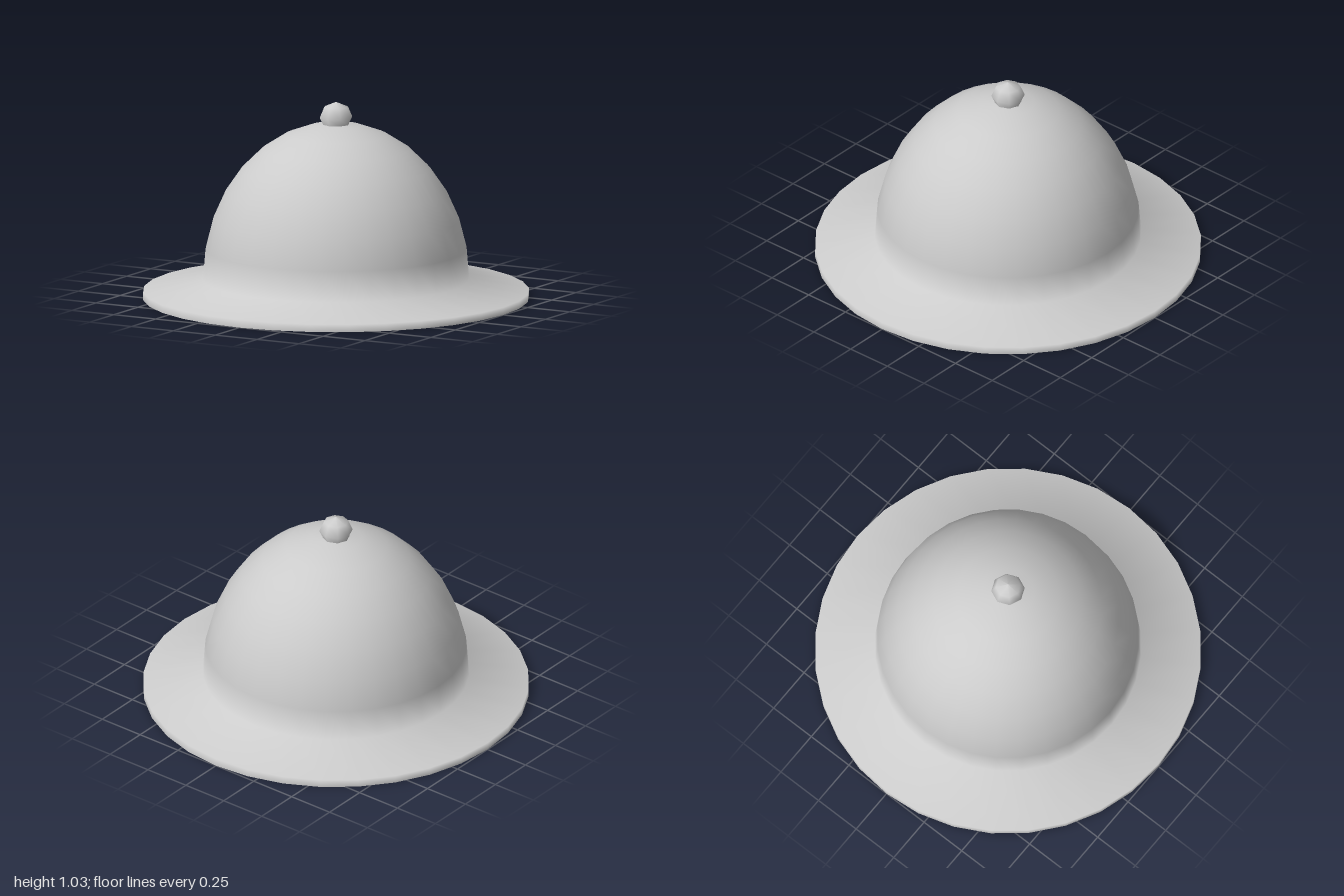
import * as THREE from 'three';

const SIDES = 32;
const material = new THREE.MeshStandardMaterial({ color: 0xcccccc, side: THREE.DoubleSide });

// Quarter-ellipse profile from the top of a dome down to its rim
function domeProfile(radius, height, baseY, rings = 8) {
  const points = [];
  for (let i = 0; i <= rings; i++) {
    const a = (i / rings) * Math.PI / 2;
    points.push(new THREE.Vector2(radius * Math.sin(a), baseY + height * Math.cos(a)));
  }
  return points;
}

// Lathe a profile; profiles run bottom to top on outward-facing surfaces
function turned(name, points, sides = SIDES) {
  const mesh = new THREE.Mesh(new THREE.LatheGeometry(points, sides), material);
  mesh.name = name;
  return mesh;
}

export function createModel() {
  const group = new THREE.Group();
  group.name = 'helmet';

  // Outer shell: brim edge, sloping brim and crown in one smooth surface
  group.add(turned('crownAndBrim', [
    new THREE.Vector2(1, 0),
    new THREE.Vector2(1, 0.04),
    ...domeProfile(0.69, 0.82, 0.1).reverse(),
  ]));

  // Underside of the brim, rising to the head opening
  group.add(turned('brimUnderside', [
    new THREE.Vector2(0.51, 0.104),
    new THREE.Vector2(1, 0),
  ]));

  // Hollow inside the crown
  group.add(turned('innerLining', domeProfile(0.51, 0.64, 0.104)));

  // Small faceted-outline finial on top
  group.add(turned('topKnob', [
    new THREE.Vector2(0.075, 0.895),
    new THREE.Vector2(0.07, 0.915),
    new THREE.Vector2(0.087, 0.95),
    new THREE.Vector2(0.064, 1.003),
    new THREE.Vector2(0, 1.03),
  ], 8));

  return group;
}
